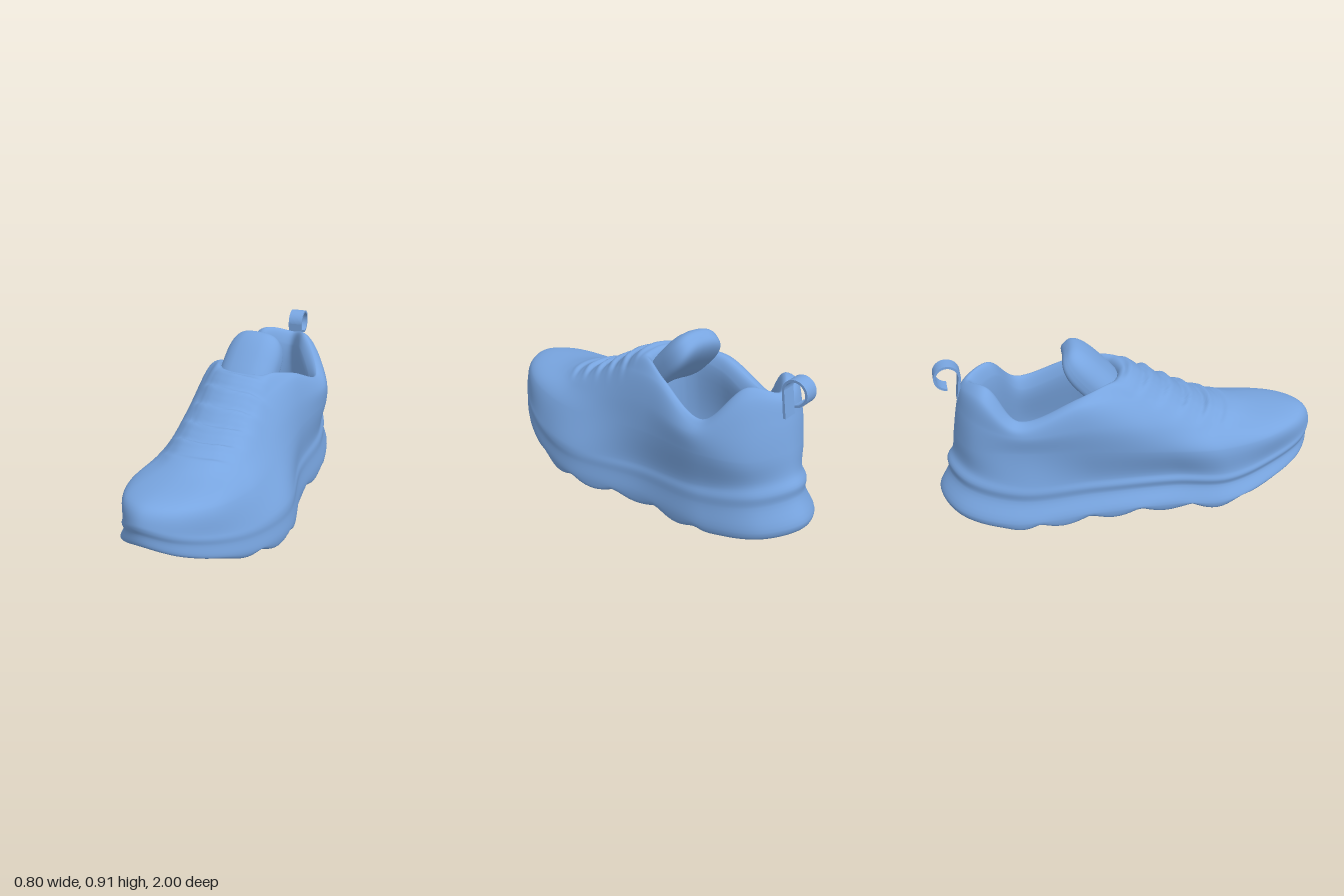
import * as THREE from 'three';
import { mergeVertices } from 'three/addons/utils/BufferGeometryUtils.js';

const { smoothstep } = THREE.MathUtils;
const material = new THREE.MeshStandardMaterial({ color: 0x78a5e0, side: THREE.DoubleSide });

// Guide rings. Each row is [z, y, x on the left, x on the right], from toe to heel.
const soleEdge = [
  [0.985, 0.26, 0, 0], [0.925, 0.222, 0.15, -0.145], [0.74, 0.152, 0.285, -0.268], [0.5, 0.09, 0.365, -0.35],
  [0.22, 0.065, 0.39, -0.315], [-0.2, 0.06, 0.262, -0.345], [-0.62, 0.068, 0.212, -0.4],
  [-0.895, 0.105, 0.09, -0.3], [-1, 0.135, -0.1, -0.1],
];
const upperSide = [
  [0.96, 0.44, 0, 0], [0.9, 0.425, 0.14, -0.135], [0.73, 0.395, 0.25, -0.242], [0.46, 0.37, 0.29, -0.295],
  [0.17, 0.38, 0.28, -0.3], [-0.22, 0.43, 0.243, -0.335], [-0.59, 0.45, 0.222, -0.335],
  [-0.81, 0.45, 0.1, -0.28], [-0.895, 0.48, -0.1, -0.1],
];
const shoulder = [
  [0.63, 0.482, 0.01, 0.01], [0.59, 0.478, 0.11, -0.1], [0.5, 0.468, 0.175, -0.18], [0.39, 0.467, 0.205, -0.225],
  [0.14, 0.51, 0.21, -0.285], [-0.21, 0.58, 0.22, -0.35], [-0.57, 0.55, 0.225, -0.345],
  [-0.785, 0.62, 0.075, -0.285], [-0.865, 0.64, -0.1, -0.1],
];
const laceEdge = [
  [0.38, 0.555, -0.02, -0.02], [0.355, 0.56, 0.06, -0.1], [0.3, 0.573, 0.1, -0.145], [0.2, 0.61, 0.118, -0.178],
  [0.02, 0.67, 0.14, -0.235], [-0.24, 0.7, 0.175, -0.32], [-0.57, 0.59, 0.198, -0.33],
  [-0.735, 0.745, 0.055, -0.29], [-0.835, 0.735, -0.1, -0.1],
];
const collar = [
  [-0.02, 0.757, -0.05, -0.05], [-0.03, 0.755, 0.005, -0.105], [-0.045, 0.753, 0.045, -0.14], [-0.065, 0.75, 0.075, -0.17],
  [-0.12, 0.75, 0.105, -0.215], [-0.27, 0.71, 0.15, -0.27], [-0.56, 0.61, 0.165, -0.28],
  [-0.7, 0.78, 0.025, -0.235], [-0.8, 0.755, -0.095, -0.095],
];

// A ring derived from another: each side narrowed, heel and toe drawn in, and the whole lifted more at the heel.
const derive = (rows, kLeft, kRight, kBack, kFront, lift) => rows.map(([z, y, a, b]) => {
  const mid = (a + b) / 2;
  return [z * (z > 0 ? kFront : kBack), y + lift * (0.75 - 0.25 * z), mid + (a - mid) * kLeft, mid + (b - mid) * kRight];
});
// A ring inside the foot opening.
const inside = (k, height) => collar.map(([z, y, a, b]) => {
  const mid = (a + b) / 2;
  return [-0.4 + (z + 0.4) * 0.89, height ?? y - 0.075, mid + (a - mid) * k, mid + (b - mid) * k];
});

function closedCurve(rows) {
  const left = rows.map(([z, y, a]) => new THREE.Vector3(a, y, z));
  const right = rows.slice(1, -1).reverse().map(([z, y, , b]) => new THREE.Vector3(b, y, z));
  return new THREE.CatmullRomCurve3([...left, ...right], true);
}

// Sole, upper, collar and lining as one continuous skin
function shoeBody() {
  const rings = [
    derive(soleEdge, 0, 0, 0.88, 0.85, -0.055), derive(soleEdge, 0.85, 0.85, 0.95, 0.92, -0.055),
    derive(soleEdge, 0.97, 0.97, 0.985, 0.96, -0.045), soleEdge,
    derive(soleEdge, 0.975, 0.87, 0.945, 1.005, 0.115), derive(soleEdge, 0.97, 0.885, 0.945, 1.014, 0.175),
    derive(soleEdge, 0.945, 0.85, 0.915, 1.014, 0.225), upperSide, shoulder, laceEdge, collar,
    inside(0.86), inside(0.98, 0.25), inside(0, 0.24),
  ].map(closedCurve);
  const steps = [8, 4, 5, 5, 5, 4, 6, 14, 22, 30, 8, 8, 4];
  const levels = [0];
  steps.forEach((n, i) => { for (let k = 1; k <= n; k++) levels.push(i + k / n); });

  const cols = 208, positions = new Float32Array(levels.length * cols * 3), index = [];
  for (let c = 0; c < cols; c++) {
    const rib = new THREE.CatmullRomCurve3(rings.map((r) => r.getPoint(c / cols)));
    levels.forEach((level, r) => {
      const p = rib.getPoint(level / (rings.length - 1));
      if (level < 4) {
        // scalloped, slanted tread pads
        const fade = (1 - smoothstep(level, 2, 3.3)) * (1 - smoothstep(p.z, 0.45, 0.85)) * smoothstep(p.z, -0.72, -0.5);
        p.y += fade * (0.018 - 0.034 * Math.abs(Math.sin(Math.PI * (p.z + 0.15 * p.x) / 0.27)));
      } else if (level > 7.5 && level < 10) {
        // lacing folds across the instep
        const dx = p.x + 0.03, phase = 2 * Math.PI * (p.z + 1.8 * dx * dx) / 0.105;
        const fade = smoothstep(p.z, -0.05, 0.04) * (1 - smoothstep(p.z, 0.42, 0.6)) * (1 - smoothstep(Math.abs(dx), 0.1, 0.23));
        p.y += fade * 0.01 * (Math.sin(phase) + 0.35 * Math.sin(2 * phase));
      }
      p.toArray(positions, (r * cols + c) * 3);
      if (r + 1 < levels.length) {
        const a = r * cols + c, b = r * cols + (c + 1) % cols;
        index.push(a, b, a + cols, b, b + cols, a + cols);
      }
    });
  }
  let geometry = new THREE.BufferGeometry();
  geometry.setAttribute('position', new THREE.BufferAttribute(positions, 3));
  geometry.setIndex(index);
  geometry = mergeVertices(geometry, 1e-4);
  geometry.computeVertexNormals();
  geometry.computeBoundingBox();
  geometry.translate(0, -geometry.boundingBox.min.y, 0);
  return geometry;
}

// Tongue: a squared-off pillow, arched across and leaning back
function tonguePad() {
  const geometry = new THREE.SphereGeometry(1, 48, 32);
  const pos = geometry.attributes.position;
  const square = (v, e) => Math.sign(v) * Math.abs(v) ** e;
  for (let i = 0; i < pos.count; i++) {
    const x = 0.158 * square(pos.getX(i), 0.5);
    const y = 0.2 * square(pos.getY(i), 0.7);
    pos.setXYZ(i, x, y, 0.078 * square(pos.getZ(i), 0.7) - 1.5 * x * x);
  }
  geometry.computeVertexNormals();
  return geometry;
}

// Heel pull: a flat strap curled into an open hook
function pullStrap() {
  const shape = new THREE.Shape();
  shape.moveTo(0, -0.14);
  shape.lineTo(-0.017, 0);
  shape.absarc(0.05, 0, 0.067, Math.PI, -1.5, true);
  shape.absarc(0.05, 0, 0.055, -1.5, Math.PI, false);
  shape.lineTo(0.014, -0.14);
  const geometry = new THREE.ExtrudeGeometry(shape, { depth: 0.08, bevelEnabled: false, curveSegments: 28 });
  return geometry.translate(0, 0, -0.04).rotateY(Math.PI / 2);
}

export function createModel() {
  const group = new THREE.Group();
  group.name = 'shoe';
  const add = (name, geometry) => {
    const mesh = new THREE.Mesh(geometry, material);
    mesh.name = name;
    group.add(mesh);
    return mesh;
  };
  add('soleAndUpper', shoeBody());

  const tongue = add('tongue', tonguePad());
  tongue.position.set(-0.062, 0.748, -0.168);
  tongue.rotation.x = -0.75;

  const pull = add('heelPull', pullStrap());
  pull.position.set(-0.1, 0.797, -0.85);
  pull.rotation.y = 0.15;
  return group;
}
